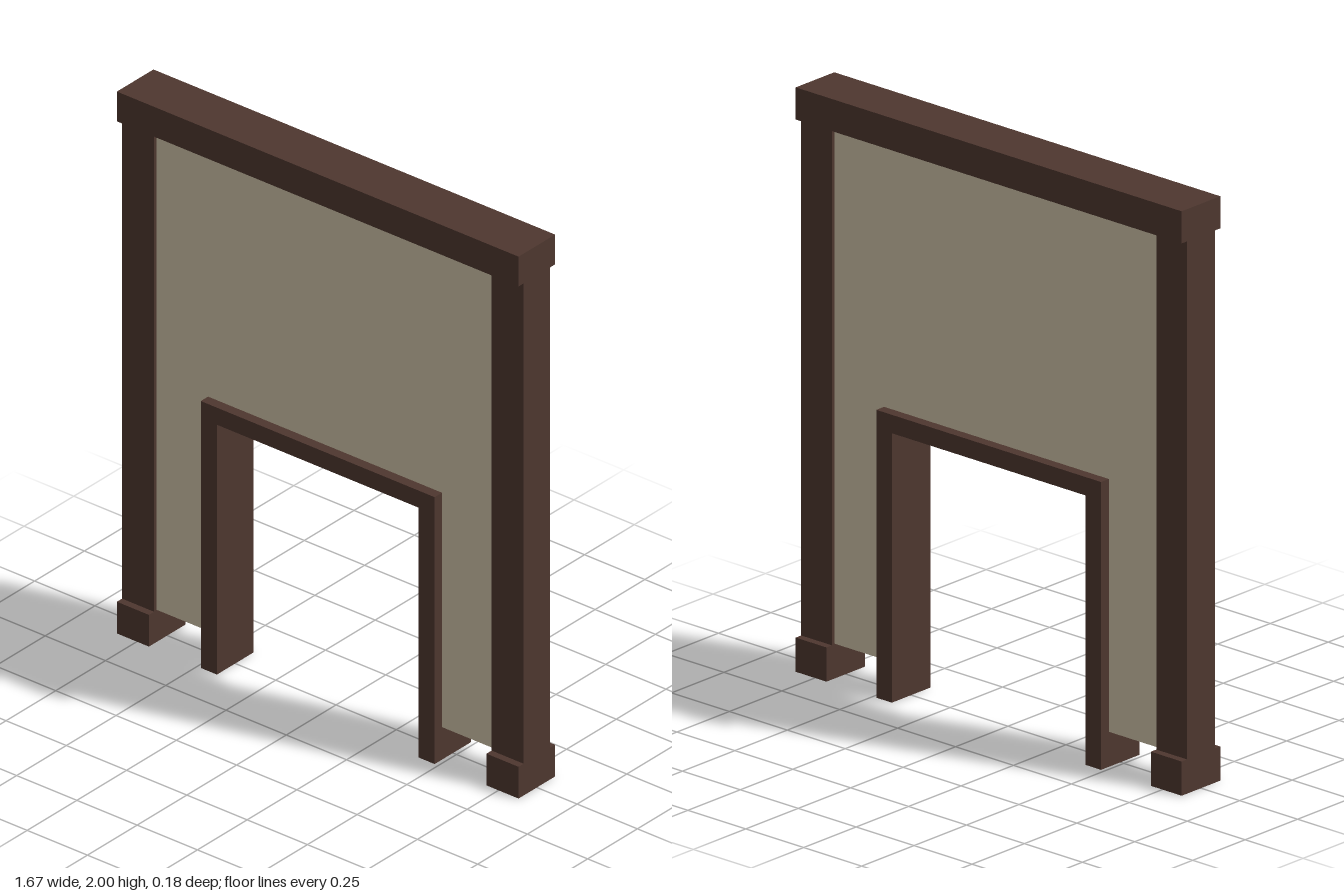
import * as THREE from 'three';

const material = (name, color) => {
  const m = new THREE.MeshStandardMaterial({ color });
  m.name = name;
  return m;
};

export function createModel() {
  const group = new THREE.Group();
  const wood = material('darkWood', 0x4e372f);
  const plaster = material('plaster', 0xd2c5aa);

  // Box given by its x and y limits and its depth, centred on z = 0
  const box = (name, x0, x1, y0, y1, depth, mat) => {
    const mesh = new THREE.Mesh(new THREE.BoxGeometry(x1 - x0, y1 - y0, depth), mat);
    mesh.position.set((x0 + x1) / 2, (y0 + y1) / 2, 0);
    mesh.name = name;
    group.add(mesh);
  };

  // Upside-down U outline, extruded evenly about z = 0
  const arch = (name, outerX, innerX, bottom, innerTop, outerTop, depth, mat) => {
    const shape = new THREE.Shape([
      [-outerX, bottom], [-innerX, bottom], [-innerX, innerTop], [innerX, innerTop],
      [innerX, bottom], [outerX, bottom], [outerX, outerTop], [-outerX, outerTop],
    ].map(([x, y]) => new THREE.Vector2(x, y)));
    const geometry = new THREE.ExtrudeGeometry(shape, { depth, bevelEnabled: false });
    geometry.translate(0, 0, -depth / 2);
    const mesh = new THREE.Mesh(geometry, mat);
    mesh.name = name;
    group.add(mesh);
  };

  // Wall panel around the doorway
  arch('wallPanel', 0.7, 0.485, 0.12, 0.985, 1.89, 0.11, plaster);

  // Door frame, standing proud of the wall
  arch('doorFrame', 0.485, 0.418, 0, 0.922, 0.985, 0.184, wood);

  // Corner posts on wider feet
  for (const [side, x0, x1] of [['left', 0.7, 0.833], ['right', -0.833, -0.7]]) {
    box(side + 'Post', x0, x1, 0.117, 1.89, 0.132, wood);
    box(side + 'Foot', x0, x1, 0, 0.117, 0.184, wood);
  }

  // Top beam
  box('topBeam', -0.833, 0.833, 1.89, 2, 0.184, wood);

  return group;
}
